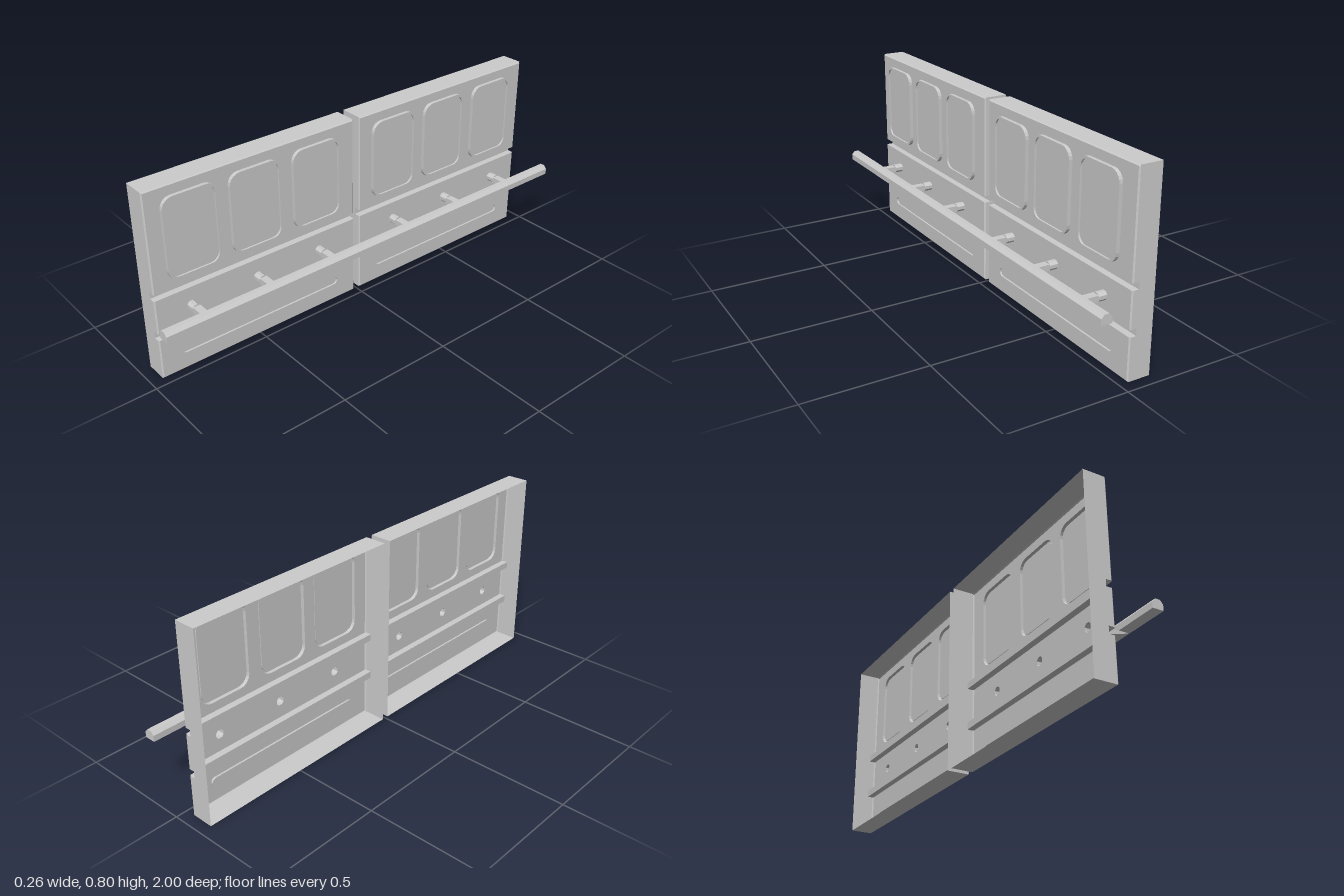
import * as THREE from 'three';

const mat = new THREE.MeshStandardMaterial({ color: 0xcccccc, flatShading: true, side: THREE.DoubleSide });
const LEN = 0.935, MID = 0.4825;        // panel length and centre along z
const FACE = -0.035, BEVEL = -0.04, GROOVE = -0.063, BACK = -0.133;
const PEG_Y = 0.276, PEG_R = 0.019;
const V = (x, y) => new THREE.Vector2(x, y);

function add(parent, name, geometry) {
  const mesh = new THREE.Mesh(geometry, mat);
  mesh.name = name;
  parent.add(mesh);
  return mesh;
}

// outline of a rounded rectangle in the (-z, y) plane
function roundedOutline(z, y, w, h, r, steps = 5) {
  const pts = [];
  for (let c = 0; c < 4; c++) {
    const cx = -z + (c === 0 || c === 3 ? 1 : -1) * (w / 2 - r);
    const cy = y + (c < 2 ? 1 : -1) * (h / 2 - r);
    for (let i = 0; i <= steps; i++) {
      const a = (c + i / steps) * Math.PI / 2;
      pts.push(V(cx + r * Math.cos(a), cy + r * Math.sin(a)));
    }
  }
  return pts;
}

function octagon(z, y, r) {
  return Array.from({ length: 8 }, (_, i) => {
    const a = (i + 0.5) * Math.PI / 4;
    return V(-z + r * Math.cos(a), y + r * Math.sin(a));
  });
}

// flat sheet facing +x, with optional holes
function sheet(outline, x, holes = []) {
  const shape = new THREE.Shape(outline);
  holes.forEach(h => shape.holes.push(new THREE.Path(h)));
  return new THREE.ShapeGeometry(shape).rotateY(Math.PI / 2).translate(x, 0, 0);
}

// joins successive rows of [x, y, z] points into a surface
function loft(rows, closed = false) {
  const pos = [];
  for (let r = 0; r + 1 < rows.length; r++) {
    const a = rows[r], b = rows[r + 1], n = a.length;
    for (let i = 0; i < (closed ? n : n - 1); i++) {
      const j = (i + 1) % n;
      pos.push(...a[i], ...a[j], ...b[j], ...a[i], ...b[j], ...b[i]);
    }
  }
  const g = new THREE.BufferGeometry();
  g.setAttribute('position', new THREE.Float32BufferAttribute(pos, 3));
  g.computeVertexNormals();
  return g;
}

const ring = (outline, x) => outline.map(p => [x, p.y, -p.x]);

function makePanel(side) {
  const panel = new THREE.Group();
  panel.name = side > 0 ? 'frontPanel' : 'rearPanel';
  const half = LEN / 2, inset = half - 0.005;
  const pegs = [0.8, 0.5, 0.2].map(z => side * (z - MID));
  const windows = [0.29, 0.01, -0.275].map(z => roundedOutline(z, 0.587, 0.226, 0.34, 0.045));
  const slot = roundedOutline(0, 0.09, 0.75, 0.036, 0.018);

  // bent sheet sections between the front strips, with chamfered ends
  const sections = {
    bottomWall: [[BACK, 0], [BEVEL, 0], [FACE, 0.005]],
    lowerGroove: [[FACE, 0.175], [GROOVE, 0.175], [GROOVE, 0.205], [FACE, 0.205]],
    upperGroove: [[FACE, 0.352], [GROOVE, 0.352], [GROOVE, 0.38], [FACE, 0.38]],
    topWall: [[FACE, 0.795], [BEVEL, 0.8], [BACK, 0.8]],
  };
  const row = (pts, z, max) => pts.map(([x, y]) => [Math.min(x, max), y, z]);
  const sweep = pts => loft([row(pts, -half, BEVEL), row(pts, -inset, FACE),
    row(pts, inset, FACE), row(pts, half, BEVEL)]);
  for (const [name, pts] of Object.entries(sections)) add(panel, name, sweep(pts));

  // front strips with openings for the embossed details
  const strips = [
    ['lowerStrip', 0.005, 0.175, [slot]],
    ['middleStrip', 0.205, 0.352, pegs.map(z => octagon(z, PEG_Y, PEG_R))],
    ['upperStrip', 0.38, 0.795, windows],
  ];
  for (const [name, y0, y1, holes] of strips) {
    add(panel, name, sheet([V(-inset, y0), V(inset, y0), V(inset, y1), V(-inset, y1)], FACE, holes));
    for (const s of [-1, 1]) {
      add(panel, name + 'Chamfer', loft([
        [[FACE, y0, s * inset], [FACE, y1, s * inset]],
        [[BEVEL, y0, s * half], [BEVEL, y1, s * half]],
      ]));
    }
  }

  // notched end walls; the back stays open
  const profile = Object.values(sections).flat().map(([x, y]) => V(Math.min(x, BEVEL), y));
  for (const s of [-1, 1]) {
    add(panel, 'endWall', new THREE.ShapeGeometry(new THREE.Shape(profile)).translate(0, 0, s * half));
  }

  // raised window frames with slightly sunk centres
  [0.29, 0.01, -0.275].forEach((z, i) => {
    const inner = roundedOutline(z, 0.587, 0.208, 0.322, 0.036);
    add(panel, 'windowFrame', loft([ring(windows[i], FACE), ring(windows[i], -0.02),
      ring(inner, -0.02), ring(inner, -0.028)], true));
    add(panel, 'windowPane', sheet(inner, -0.028));
  });

  // long recessed slot
  add(panel, 'slotWall', loft([ring(slot, FACE), ring(slot, FACE - 0.008)], true));
  add(panel, 'slotFloor', sheet(slot, FACE - 0.008));

  // hollow sockets and tapered arms
  const arm = new THREE.Shape([V(0, 0.263), V(0.045, 0.263), V(0.131, 0.288), V(0, 0.288)]);
  for (const z of pegs) {
    const socket = octagon(z, PEG_Y, PEG_R);
    add(panel, 'socketWall', loft([ring(socket, FACE), ring(socket, 0.002)], true));
    add(panel, 'socketCap', sheet(socket, 0.002));
    add(panel, 'railArm', new THREE.ExtrudeGeometry(arm, { depth: 0.032, bevelEnabled: false })
      .translate(0, 0, z - 0.016));
  }
  panel.position.z = side * MID;
  return panel;
}

export function createModel() {
  const model = new THREE.Group();
  model.name = 'railPanels';
  model.add(makePanel(1), makePanel(-1));

  // long rail with chamfered top
  const rail = new THREE.Shape([V(0.085, 0.288), V(0.131, 0.288), V(0.131, 0.313),
    V(0.118, 0.327), V(0.098, 0.327), V(0.085, 0.313)]);
  add(model, 'rail', new THREE.ExtrudeGeometry(rail, { depth: 2, bevelEnabled: false }).translate(0, 0, -1));
  return model;
}
